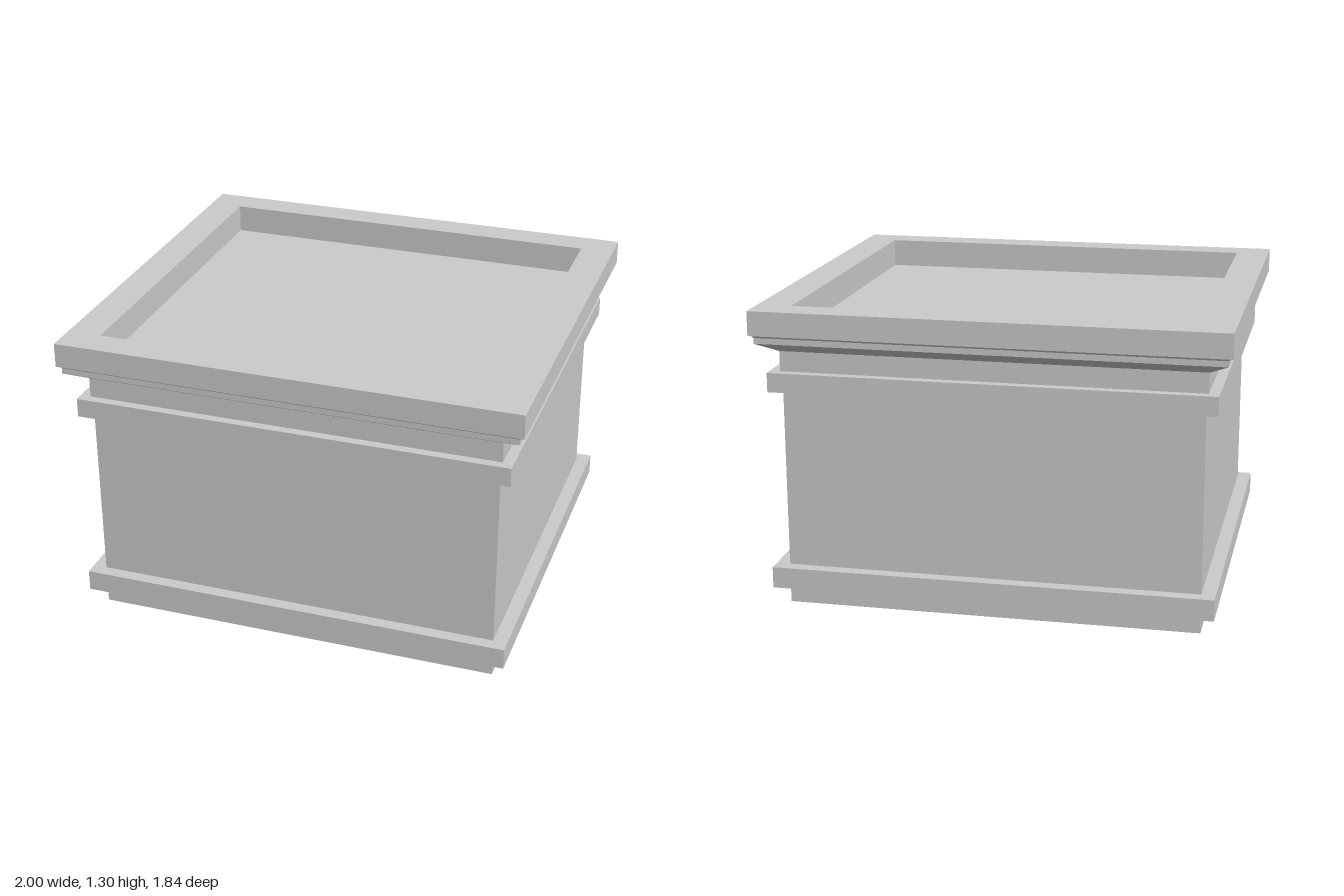
import * as THREE from 'three';

const material = new THREE.MeshStandardMaterial({ color: 0xcccccc, flatShading: true });

// Rectangular loft through rings of [halfWidth, halfDepth, y], listed bottom to top along the outside.
function loft(name, rings, cap = true) {
  const pos = [];
  const corners = ([x, z, y]) => [[-x, y, z], [x, y, z], [x, y, -z], [-x, y, -z]];
  const quad = (a, b, c, d) => pos.push(...a, ...b, ...c, ...a, ...c, ...d);
  for (let i = 0; i < rings.length - 1; i++) {
    const lo = corners(rings[i]), hi = corners(rings[i + 1]);
    for (let k = 0; k < 4; k++) {
      const n = (k + 1) % 4;
      quad(lo[k], lo[n], hi[n], hi[k]);
    }
  }
  if (cap) {
    const [a, b, c, d] = corners(rings[0]);
    quad(d, c, b, a);
    quad(...corners(rings[rings.length - 1]));
  }
  const geometry = new THREE.BufferGeometry();
  geometry.setAttribute('position', new THREE.Float32BufferAttribute(pos, 3));
  geometry.computeVertexNormals();
  const mesh = new THREE.Mesh(geometry, material);
  mesh.name = name;
  return mesh;
}

// Straight-sided block
const block = (name, x, z, y0, y1) => loft(name, [[x, z, y0], [x, z, y1]]);

export function createModel() {
  const group = new THREE.Group();
  group.name = 'squarePlanter';

  group.add(
    block('body', 0.89, 0.82, 0, 0.99),
    block('lowerBand', 0.95, 0.875, 0.08, 0.173),
    block('upperBand', 0.943, 0.868, 0.95, 1.033),
    // Neck with flared moulding under the rim
    loft('cornice', [
      [0.898, 0.828, 1.0],
      [0.898, 0.828, 1.12],
      [0.98, 0.906, 1.165],
      [0.98, 0.906, 1.19],
      [0.988, 0.912, 1.2],
    ], false),
    // Rim: underside, outer face, top and inner wall as one closed section
    loft('rim', [
      [0.853, 0.785, 1.2],
      [1, 0.92, 1.2],
      [1, 0.92, 1.305],
      [0.853, 0.785, 1.305],
      [0.853, 0.785, 1.18],
    ], false),
    // Sunken floor inside the rim
    block('recessFloor', 0.856, 0.788, 1.14, 1.18),
  );
  return group;
}
